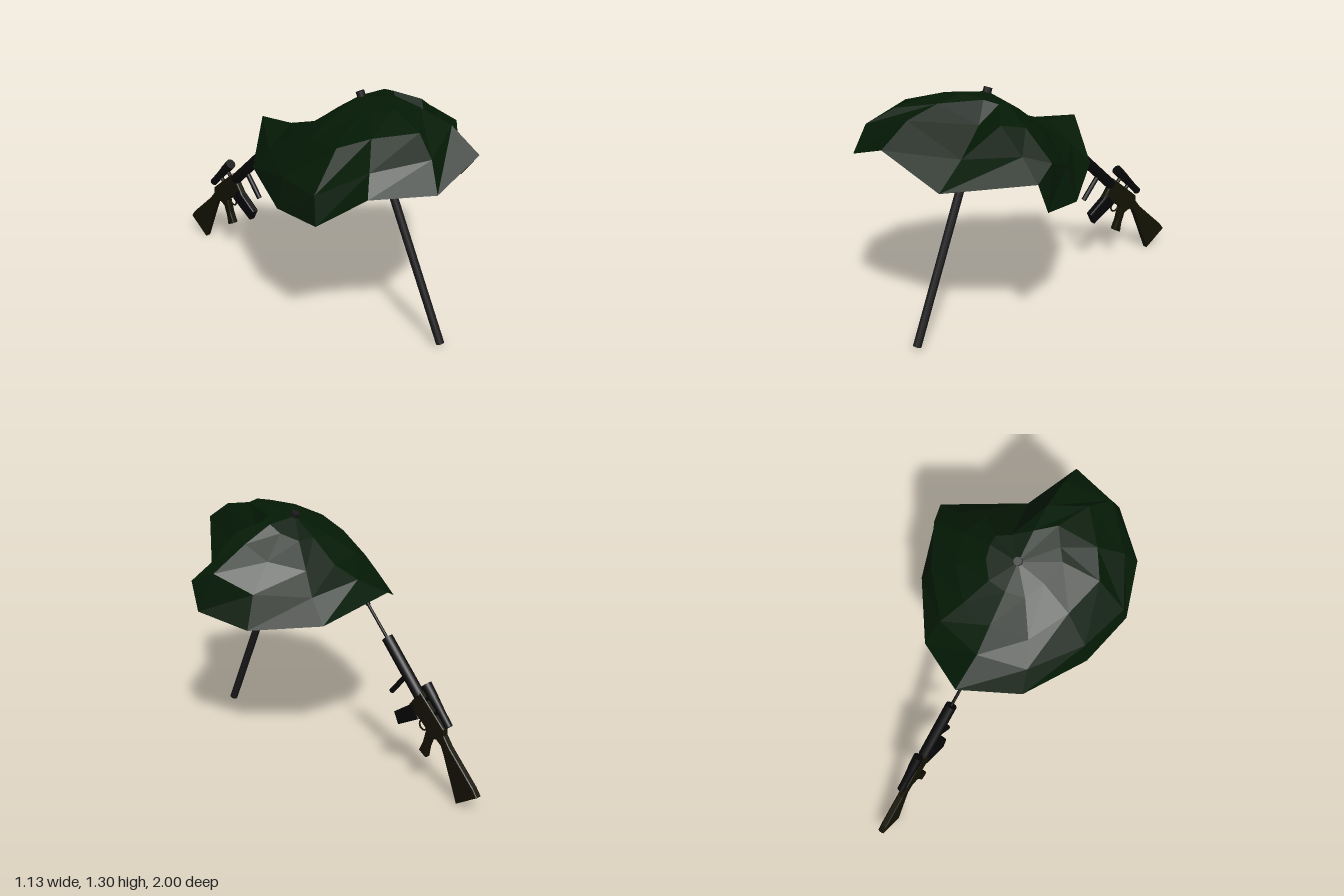
import * as THREE from 'three';

const mat = (color, extra = {}) => new THREE.MeshStandardMaterial({ color, ...extra });
const cloth = mat(0x041a05, { flatShading: true, side: THREE.DoubleSide });
const poleGrey = mat(0x1b191b);
const black = mat(0x060608);
const olive = mat(0x141203);
const RIFLE_X = -0.105;

const V = (x, y, z) => new THREE.Vector3(x, y, z);

function add(parent, name, geometry, material) {
  const mesh = new THREE.Mesh(geometry, material);
  mesh.name = name;
  parent.add(mesh);
  return mesh;
}

// round bar running from a (radius ra) to b (radius rb)
function rod(parent, name, a, b, ra, rb, material, sides = 12) {
  const d = b.clone().sub(a);
  const mesh = add(parent, name, new THREE.CylinderGeometry(rb, ra, d.length(), sides), material);
  mesh.position.copy(a).addScaledVector(d, 0.5);
  mesh.quaternion.setFromUnitVectors(V(0, 1, 0), d.normalize());
  return mesh;
}

// side profile of (backward distance, height) points, given a thickness along x
function plate(parent, name, points, thickness, material) {
  const bevel = 0.008;
  const shape = new THREE.Shape(points.map(([u, y]) => new THREE.Vector2(u, y)));
  const geo = new THREE.ExtrudeGeometry(shape, {
    depth: thickness - 2 * bevel, bevelEnabled: true, bevelSize: bevel,
    bevelOffset: -bevel, bevelThickness: bevel, bevelSegments: 2,
  });
  geo.translate(0, 0, bevel - thickness / 2).rotateY(Math.PI / 2).translate(RIFLE_X, 0, 0);
  return add(parent, name, geo, material);
}

// sagging cloth: spokes listed from rim to centre, joined around a crown point
function canopyGeometry() {
  const spokes = [
    // back point
    [[-0.12, 0.98, -0.305], [-0.1, 1.0, -0.1], [-0.07, 1.05, 0.05], [-0.05, 1.17, 0.2]],
    // right side
    [[-0.38, 0.843, -0.085], [-0.34, 0.96, 0], [-0.27, 1.06, 0.1], [-0.15, 1.175, 0.23]],
    [[-0.535, 0.805, 0.275], [-0.5, 0.96, 0.28], [-0.36, 1.125, 0.31], [-0.19, 1.22, 0.33]],
    [[-0.57, 0.843, 0.58], [-0.55, 0.985, 0.55], [-0.39, 1.165, 0.53], [-0.2, 1.245, 0.47]],
    [[-0.46, 1.025, 0.8], [-0.4, 1.12, 0.75], [-0.287, 1.22, 0.65], [-0.15, 1.265, 0.52]],
    // front edge and ridge
    [[-0.215, 1.035, 0.995], [-0.19, 1.18, 0.93], [-0.13, 1.25, 0.8], [-0.08, 1.29, 0.6]],
    [[0.07, 1.14, 0.995], [0.05, 1.245, 0.84], [0.03, 1.285, 0.66], [0, 1.3, 0.5]],
    // valley fold beside the ridge
    [[0.215, 0.915, 0.785], [0.16, 1.03, 0.62], [0.11, 1.16, 0.48], [0.08, 1.27, 0.43]],
    // left side
    [[0.56, 0.995, 0.465], [0.42, 1.085, 0.45], [0.27, 1.2, 0.465], [0.145, 1.255, 0.385]],
    [[0.565, 0.84, 0.41], [0.505, 1.053, 0.34], [0.3, 1.17, 0.34], [0.14, 1.25, 0.33]],
    [[0.447, 0.782, 0.14], [0.39, 0.96, 0.16], [0.26, 1.1, 0.2], [0.12, 1.21, 0.27]],
    [[0.19, 0.83, -0.16], [0.17, 0.95, -0.05], [0.11, 1.05, 0.07], [0.05, 1.17, 0.2]],
  ];
  const n = spokes.length;
  const rings = spokes[0].length;
  const index = [];
  for (let i = 0; i < n; i++) {
    const a0 = i * rings, b0 = ((i + 1) % n) * rings;
    for (let r = 0; r < rings - 1; r++) {
      const a = a0 + r, b = b0 + r;
      index.push(a, b, b + 1, a, b + 1, a + 1);
    }
    index.push(a0 + rings - 1, b0 + rings - 1, n * rings);
  }
  const geo = new THREE.BufferGeometry();
  geo.setAttribute('position', new THREE.Float32BufferAttribute([...spokes.flat(2), -0.03, 1.265, 0.33], 3));
  geo.setIndex(index);
  geo.computeVertexNormals();
  return geo;
}

function createRifle() {
  const rifle = new THREE.Group();
  rifle.name = 'rifle';
  const P = (u, y) => V(RIFLE_X, y, -u);

  // barrel and handguard
  rod(rifle, 'barrel', P(0.12, 0.938), P(0.35, 0.715), 0.008, 0.008, black);
  rod(rifle, 'muzzle', P(0.125, 0.934), P(0.18, 0.881), 0.012, 0.012, black);
  rod(rifle, 'handguard', P(0.326, 0.742), P(0.572, 0.498), 0.031, 0.031, black);
  rod(rifle, 'foregrip', P(0.47, 0.575), P(0.368, 0.453), 0.014, 0.014, black);

  // receiver, pistol grip and stock in one profile
  plate(rifle, 'receiverAndStock', [
    [0.588, 0.529], [0.759, 0.38], [0.762, 0.345], [0.8, 0.296], [0.97, 0.135], [1.0, 0.096],
    [0.866, 0.003], [0.765, 0.245], [0.745, 0.285], [0.711, 0.308], [0.674, 0.294],
    [0.652, 0.235], [0.642, 0.176], [0.594, 0.203], [0.62, 0.262], [0.64, 0.34],
    [0.588, 0.38], [0.508, 0.428], [0.551, 0.487],
  ], 0.038, olive);

  plate(rifle, 'magazine', [
    [0.54, 0.45], [0.406, 0.353], [0.439, 0.289], [0.585, 0.375],
  ], 0.042, black);

  // trigger guard
  const guard = add(rifle, 'triggerGuard', new THREE.TorusGeometry(0.027, 0.005, 6, 16), olive);
  guard.rotation.y = Math.PI / 2;
  guard.position.copy(P(0.605, 0.345));

  // scope on two mounts
  rod(rifle, 'scopeFront', P(0.615, 0.578), P(0.67, 0.52), 0.029, 0.027, black);
  rod(rifle, 'scopeTube', P(0.665, 0.525), P(0.745, 0.44), 0.026, 0.02, black);
  rod(rifle, 'scopeEyepiece', P(0.735, 0.451), P(0.782, 0.4), 0.021, 0.021, black);
  for (const [u, y] of [[0.655, 0.53], [0.715, 0.468]]) {
    rod(rifle, 'scopeMount', P(u, y), P(u - 0.045, y - 0.045), 0.011, 0.011, black, 8);
  }
  return rifle;
}

export function createModel() {
  const model = new THREE.Group();
  model.name = 'tarpShelter';
  add(model, 'canopy', canopyGeometry(), cloth);
  rod(model, 'supportPole', V(0.05, 0.025, 0.855), V(-0.03, 1.285, 0.325), 0.022, 0.022, poleGrey, 10);
  model.add(createRifle());
  return model;
}
